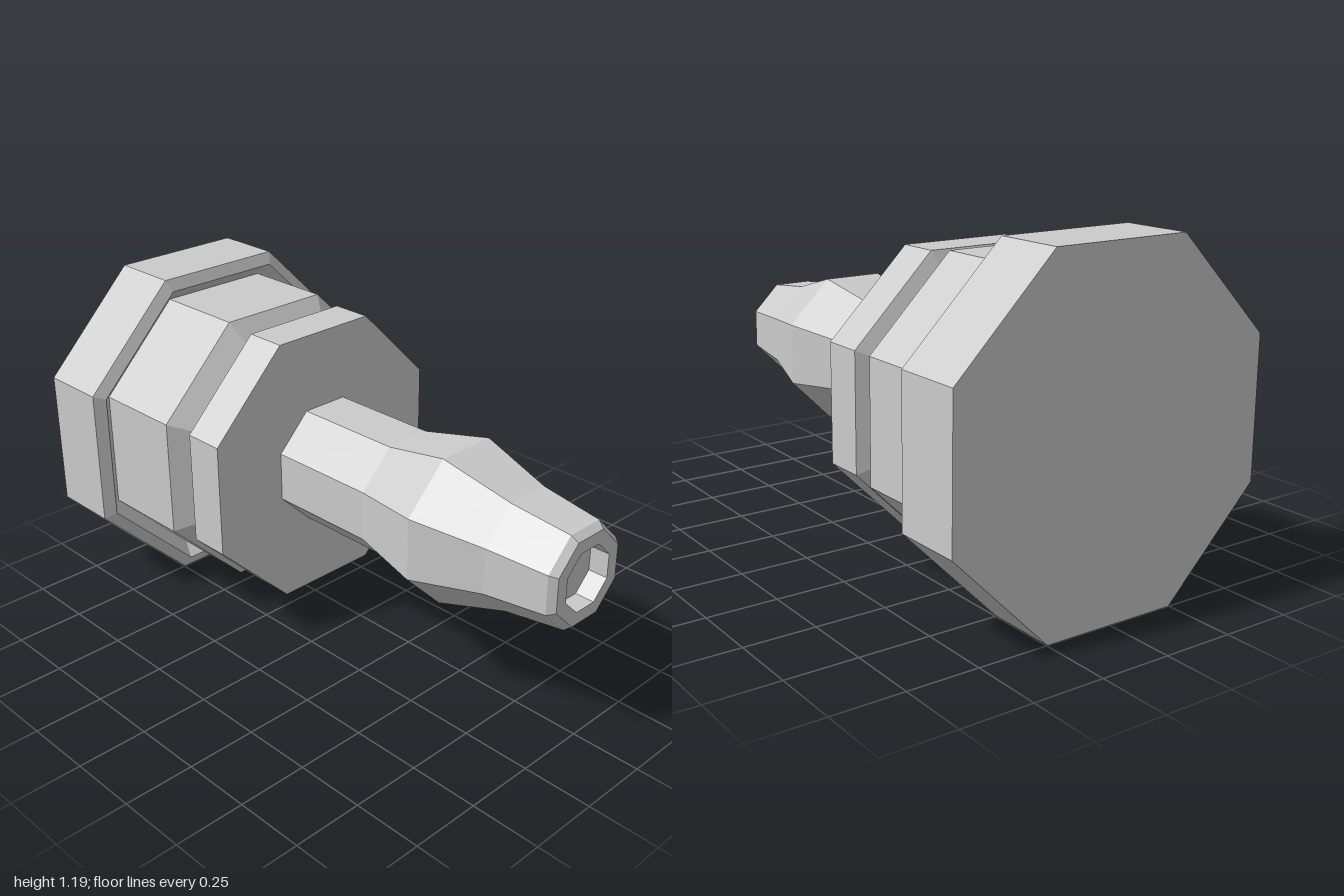
import * as THREE from 'three';

const SIDES = 8;
const AXIS_HEIGHT = 0.597;

const material = new THREE.MeshStandardMaterial({ color: 0xcccccc, flatShading: true });

// Eight-sided turned part along z; profile is [distance to flat, z] from back to front
function turnedPart(name, profile) {
  const toCorner = 1 / Math.cos(Math.PI / SIDES);
  const points = profile.map(([flat, z]) => new THREE.Vector2(flat * toCorner, z));
  const geometry = new THREE.LatheGeometry(points, SIDES, Math.PI / SIDES);
  geometry.rotateX(Math.PI / 2);
  const mesh = new THREE.Mesh(geometry, material);
  mesh.name = name;
  mesh.position.y = AXIS_HEIGHT;
  return mesh;
}

export function createModel() {
  const model = new THREE.Group();
  model.name = 'steppedPlug';

  // Wide back cap with a bevelled lip and a sloped groove inside it
  model.add(turnedPart('backCap', [
    [0, -1], [0.597, -1], [0.597, -0.75], [0.555, -0.73], [0.51, -0.78],
  ]));

  // Main body, tapering towards the neck
  model.add(turnedPart('body', [
    [0.51, -0.78], [0.51, -0.44], [0.4, -0.357],
  ]));

  // Front flange with a bevelled rear edge
  model.add(turnedPart('flange', [
    [0.4, -0.357], [0.43, -0.357], [0.495, -0.33], [0.495, -0.18], [0.215, -0.18],
  ]));

  // Stem with a bulge and a chamfered tip
  model.add(turnedPart('stem', [
    [0.215, -0.18], [0.215, 0.23], [0.27, 0.49], [0.198, 0.75], [0.17, 0.975], [0.15, 1], [0.105, 1],
  ]));

  // Shallow blind hole in the tip
  model.add(turnedPart('tipHole', [
    [0.105, 1], [0.105, 0.93], [0, 0.93],
  ]));

  return model;
}
